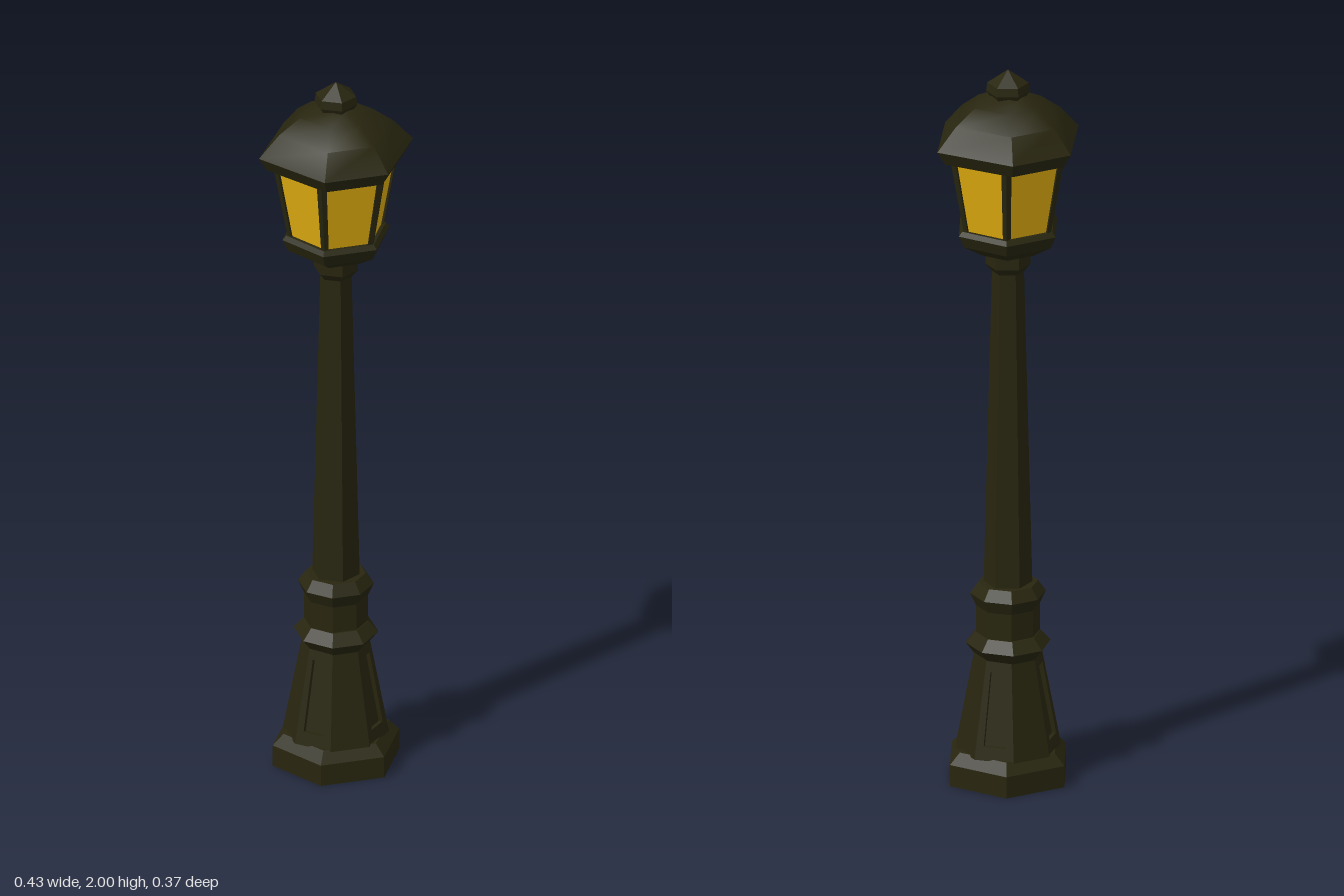
import * as THREE from 'three';
import { toCreasedNormals } from 'three/addons/utils/BufferGeometryUtils.js';

const iron = new THREE.MeshStandardMaterial({ color: 0x28260f });
iron.name = 'dark iron';
const amber = new THREE.MeshStandardMaterial({ color: 0xe2ae10 });
amber.name = 'amber glass';

// Regular polygon corners as [x, z] on a unit circle
const polygon = (n, turn = 0) => Array.from({ length: n }, (_, i) => {
  const a = turn + (i / n) * Math.PI * 2;
  return [Math.cos(a), Math.sin(a)];
});
const HEX_X = polygon(6);                 // corners on the x axis
const HEX_Z = polygon(6, Math.PI / 6);    // corners on the z axis
const OCT = polygon(8, Math.PI / 8);      // flat sides on the axes
const ROOF = [[1, 0], [0.41, 0.88], [-0.41, 0.88], [-1, 0], [-0.41, -0.88], [0.41, -0.88]];

const at = ([x, z], r, y) => new THREE.Vector3(x * r, y, z * r);

function geometryOf(points, crease = 0) {
  const g = new THREE.BufferGeometry().setFromPoints(points);
  g.computeVertexNormals();
  return crease ? toCreasedNormals(g, crease) : g;
}

// Adds a quad, counter-clockwise from outside, dropping collapsed triangles
function quad(out, a, b, c, d) {
  for (const t of [[a, b, c], [a, c, d]]) {
    if (t[0].distanceTo(t[1]) > 1e-6 && t[1].distanceTo(t[2]) > 1e-6 && t[2].distanceTo(t[0]) > 1e-6) out.push(...t);
  }
}

// Stacks scaled copies of a polygon along a [radius, y] profile
function loft(name, corners, profile, crease = 0, skip = () => false) {
  const out = [];
  for (let k = 0; k < profile.length - 1; k++) {
    const [r0, y0] = profile[k], [r1, y1] = profile[k + 1];
    corners.forEach((p, i) => {
      if (skip(i)) return;
      const q = corners[(i + 1) % corners.length];
      quad(out, at(q, r0, y0), at(p, r0, y0), at(p, r1, y1), at(q, r1, y1));
    });
  }
  const mesh = new THREE.Mesh(geometryOf(out, crease), iron);
  mesh.name = name;
  return mesh;
}

// A sloping side with a border and a sunken panel.
// side, low, high: border widths as fractions of the face
function framedFace(name, p, q, [r0, y0], [r1, y1], side, low, high, depth, panelMaterial) {
  const o = [at(q, r0, y0), at(p, r0, y0), at(p, r1, y1), at(q, r1, y1)];
  const mix = (u, v) => o[0].clone().lerp(o[1], u).lerp(o[3].clone().lerp(o[2], u), v);
  const rim = [mix(side, low), mix(1 - side, low), mix(1 - side, 1 - high), mix(side, 1 - high)];
  const normal = o[1].clone().sub(o[0]).cross(o[3].clone().sub(o[0])).normalize();
  const back = rim.map(v => v.clone().addScaledVector(normal, -depth));
  const frame = [], panel = [];
  for (let i = 0; i < 4; i++) {
    const j = (i + 1) % 4;
    quad(frame, o[i], o[j], rim[j], rim[i]);
    quad(frame, rim[i], rim[j], back[j], back[i]);
  }
  quad(panel, ...back);
  const group = new THREE.Group();
  group.name = name;
  const frameMesh = new THREE.Mesh(geometryOf(frame), iron);
  frameMesh.name = name + 'Frame';
  const panelMesh = new THREE.Mesh(geometryOf(panel), panelMaterial);
  panelMesh.name = name + 'Panel';
  group.add(frameMesh, panelMesh);
  return group;
}

export function createModel() {
  const lamp = new THREE.Group();
  lamp.name = 'streetLamp';

  // Foot slab
  lamp.add(loft('foot', HEX_X, [[0, 0], [0.175, 0], [0.175, 0.06], [0.145, 0.09], [0, 0.092]]));

  // Tapered pedestal with sunken panels on its four diagonal sides
  const foot = [0.141, 0.085], top = [0.09, 0.355];
  const pedestal = new THREE.Group();
  pedestal.name = 'pedestal';
  const isDiagonal = i => i % 2 === 0;
  pedestal.add(loft('pedestalSides', OCT, [foot, top], 0, isDiagonal));
  OCT.forEach((p, i) => {
    if (isDiagonal(i)) pedestal.add(framedFace('pedestalPanel', p, OCT[(i + 1) % 8], foot, top, 0.2, 0.14, 0.12, 0.012, iron));
  });
  lamp.add(pedestal);

  // Collars between pedestal and pole
  const lower = loft('lowerCollar', OCT, [[0, 0.345], [0.09, 0.345], [0.118, 0.38], [0.09, 0.41], [0, 0.41]]);
  lower.scale.x = 0.95;
  lamp.add(lower);
  lamp.add(loft('upperCollar', OCT,
    [[0.085, 0.4], [0.085, 0.485], [0.101, 0.52], [0.08, 0.55], [0, 0.55]]));

  // Pole and neck under the lantern
  lamp.add(loft('pole', HEX_Z, [[0.065, 0.53], [0.042, 1.45]]));
  lamp.add(loft('neck', HEX_Z, [[0, 1.43], [0.044, 1.43], [0.06, 1.45], [0.06, 1.5]]));

  // Lantern tray
  lamp.add(loft('lanternTray', HEX_X,
    [[0, 1.485], [0.08, 1.488], [0.133, 1.52], [0.148, 1.553], [0.138, 1.565], [0, 1.565]]));

  // Six glazed lantern sides
  const lantern = new THREE.Group();
  lantern.name = 'lantern';
  HEX_X.forEach((p, i) => {
    lantern.add(framedFace('lanternWindow', p, HEX_X[(i + 1) % 6], [0.132, 1.555], [0.174, 1.775], 0.09, 0.03, 0.03, 0.006, amber));
  });
  lamp.add(lantern);

  // Domed roof with brim
  lamp.add(loft('roof', ROOF,
    [[0, 1.765], [0.19, 1.765], [0.213, 1.803], [0.157, 1.865], [0.1, 1.907], [0.045, 1.932], [0, 1.935]], 0.75));

  // Finial
  lamp.add(loft('finial', HEX_Z, [[0.046, 1.92], [0.058, 1.94], [0.055, 1.963], [0, 2]]));

  return lamp;
}
